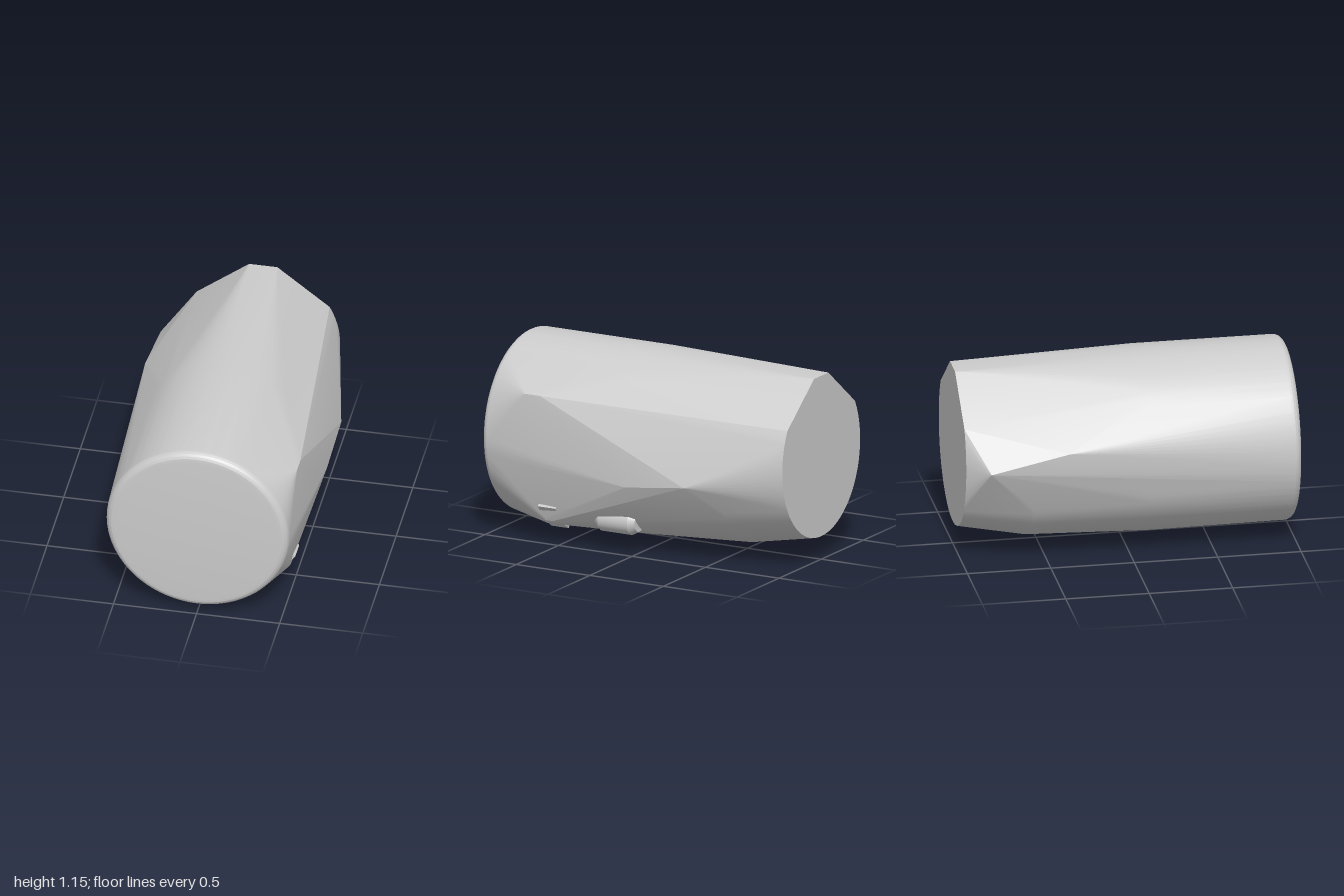
import * as THREE from 'three';
import { ConvexGeometry } from 'three/addons/geometries/ConvexGeometry.js';
import { toCreasedNormals } from 'three/addons/utils/BufferGeometryUtils.js';

const SEGMENTS = 72;

// Points of an upright ellipse at depth z, kept where keep(degrees) is true
function ring(z, cx, cy, rx, ry, segments = SEGMENTS, keep = () => true) {
  const points = [];
  for (let i = 0; i < segments; i++) {
    const degrees = (i / segments) * 360;
    if (!keep(degrees)) continue;
    const a = THREE.MathUtils.degToRad(degrees);
    points.push(new THREE.Vector3(cx + rx * Math.cos(a), cy + ry * Math.sin(a), z));
  }
  return points;
}

export function createModel() {
  const group = new THREE.Group();
  const grey = new THREE.MeshStandardMaterial({ color: 0xcccccc });
  grey.name = 'plain grey';

  const add = (name, geometry) => {
    const mesh = new THREE.Mesh(geometry, grey);
    mesh.name = name;
    group.add(mesh);
    return mesh;
  };

  // Shell: a skin stretched over a rounded drum and its protruding corners
  const points = [];
  for (let i = 0; i <= 5; i++) {
    const a = (i / 5) * Math.PI / 2;
    const r = 0.5 + 0.05 * Math.sin(a);
    points.push(...ring(0.95 + 0.05 * Math.cos(a), 0, 0.6, r, r));
  }
  points.push(...ring(0.1, 0, 0.6, 0.55, 0.55));
  // Tapering underside and the rear end with its two clipped upper corners
  points.push(...ring(-0.6, 0, 0.6, 0.53, 0.535, SEGMENTS, (d) => d >= 180));
  points.push(...ring(-1, 0, 0.63, 0.462, 0.49, SEGMENTS, (d) => d <= 30 || d >= 150));
  for (const s of [-1, 1]) points.push(new THREE.Vector3(s * 0.085, 1.12, -1));
  // Side and bottom corners
  const corners = [
    [0.545, 0.91, 0.7], [0.545, 0.91, 0.6],
    [0.59, 0.49, -0.4], [0.585, 0.44, 0],
    [-0.59, 0.65, -0.87], [-0.59, 0.75, -0.4],
    [0, 0, 0.17],
  ];
  for (const c of corners) points.push(new THREE.Vector3(...c));
  // Small rounded lower corner
  points.push(...ring(0.6, 0.435, 0.165, 0.055, 0.055, 24));
  points.push(...ring(0.55, 0.435, 0.165, 0.055, 0.055, 24));
  add('shell', toCreasedNormals(new ConvexGeometry(points), 0.16));

  // Blister showing through the lower side
  const blisterPoints = [
    ...ring(0.32, 0.4, 0.195, 0.04, 0.04, 32),
    ...ring(0.24, 0.414, 0.185, 0.078, 0.078, 32),
    ...ring(0.04, 0.414, 0.185, 0.078, 0.078, 32),
    ...ring(0, 0.41, 0.19, 0.06, 0.06, 32),
  ];
  add('blister', toCreasedNormals(new ConvexGeometry(blisterPoints), 0.35));

  // Pair of small lugs beside the lower corner
  const lugs = [['upperLug', 0.5, 0.22, 0.9], ['lowerLug', 0.368, 0.092, 0.7]];
  for (const [name, x, y, turn] of lugs) {
    const lug = add(name, new THREE.BoxGeometry(0.035, 0.022, 0.12));
    lug.position.set(x, y, 0.57);
    lug.rotation.z = turn;
  }

  return group;
}
